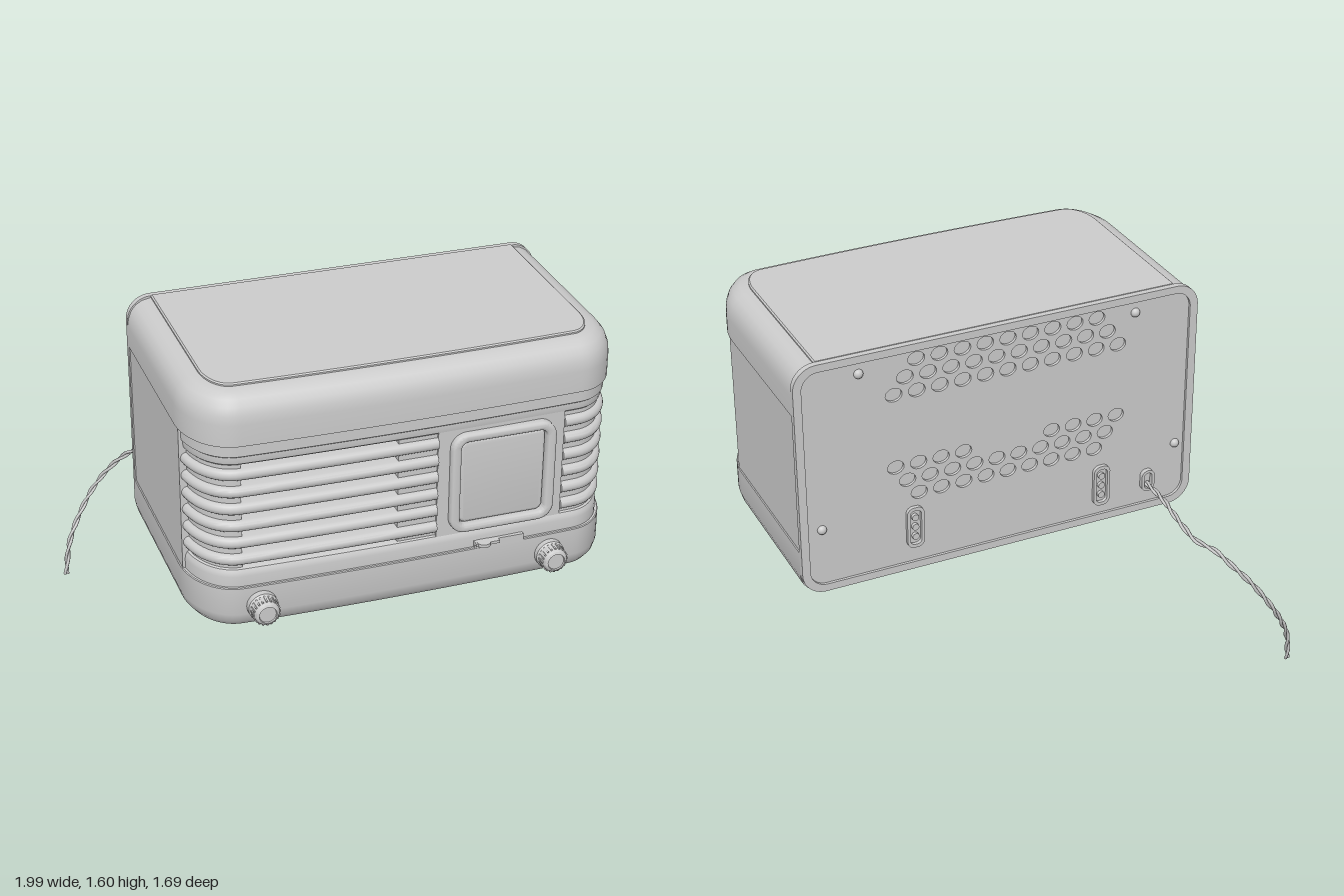
import * as THREE from 'three';
import { toCreasedNormals } from 'three/addons/utils/BufferGeometryUtils.js';

const CX = 0.11, HX = 0.885, BACK = -0.19, CW = 0.195, CZ = 0.5, CD = 0.257;
const FX = HX - CW; // where the front corners begin
const mat = new THREE.MeshStandardMaterial({ color: 0xcccccc, side: THREE.DoubleSide });

function add(parent, name, geo, x = 0, y = 0, z = 0) {
  const m = new THREE.Mesh(geo, mat);
  m.name = name;
  m.position.set(x, y, z);
  parent.add(m);
  return m;
}

// Cabinet plan from +x round the bowed front to -x, moved inwards by d
function plan(d, x0 = -9, x1 = 9, zMin = -9) {
  const pts = [], N = 12;
  const corner = (i, s) => {
    const a = (i / N) * Math.PI / 2;
    return [s * (FX + (CW - d) * Math.cos(a)), CZ + (CD - d) * Math.sin(a)];
  };
  for (let i = 0; i < N; i++) pts.push(corner(i, 1));
  const xs = [-0.06, 0.1, 0.635];
  for (let i = 0; i <= 20; i++) xs.push(FX * (1 - i / 10));
  xs.sort((a, b) => b - a);
  for (const x of xs) pts.push([x, CZ + CD + 0.013 * (1 - (x / FX) ** 2) - d]);
  for (let i = N - 1; i >= 0; i--) pts.push(corner(i, -1));
  return pts.filter(([x, z]) => x >= x0 - 1e-6 && x <= x1 + 1e-6 && z >= zMin);
}

// Sweep a profile of [inset, height] round the plan; closed adds the back, top and bottom
function sweep(profile, { closed = false, x0, x1, zMin } = {}) {
  const pos = [], idx = [];
  let n = 0;
  for (const [d, y] of profile) {
    // choose points on the un-inset plan so that all rows match
    const ref = plan(0), now = plan(d);
    let row = now.filter((p, i) => ref[i][0] >= (x0 ?? -9) - 1e-6 && ref[i][0] <= (x1 ?? 9) + 1e-6 && ref[i][1] >= (zMin ?? -9));
    if (closed) row = [[HX - d, BACK], ...row, [d - HX, BACK]];
    n = row.length;
    for (const [x, z] of row) pos.push(x + CX, y, z);
  }
  const rows = profile.length;
  for (let r = 0; r < rows - 1; r++) {
    for (let i = 0; i < (closed ? n : n - 1); i++) {
      const a = r * n + i, b = r * n + (i + 1) % n;
      idx.push(a, a + n, b, b, a + n, b + n);
    }
  }
  if (closed) {
    const top = (rows - 1) * n, c = pos.length / 3;
    pos.push(CX, profile[0][1], 0.25, CX, profile[rows - 1][1], 0.25);
    for (let i = 0; i < n; i++) {
      const j = (i + 1) % n;
      idx.push(c, i, j, c + 1, top + j, top + i);
    }
  } else {
    for (let r = 1; r < rows - 1; r++) {
      idx.push(0, (r + 1) * n, r * n);
      idx.push(n - 1, r * n + n - 1, (r + 1) * n + n - 1);
    }
  }
  const g = new THREE.BufferGeometry();
  g.setAttribute('position', new THREE.Float32BufferAttribute(pos, 3));
  g.setIndex(idx);
  return toCreasedNormals(g, 0.55);
}

function roundRect(w, h, r, cls = THREE.Shape) {
  const s = new cls(), x = w / 2, y = h / 2;
  s.moveTo(x, r - y);
  s.absarc(x - r, y - r, r, 0, Math.PI / 2);
  s.absarc(r - x, y - r, r, Math.PI / 2, Math.PI);
  s.absarc(r - x, r - y, r, Math.PI, Math.PI * 1.5);
  s.absarc(x - r, r - y, r, Math.PI * 1.5, Math.PI * 2);
  return s;
}

function extrude(shape, depth, bevel = 0) {
  return toCreasedNormals(new THREE.ExtrudeGeometry(shape, {
    depth, curveSegments: 10, bevelEnabled: bevel > 0, bevelSize: bevel, bevelThickness: bevel, bevelOffset: -bevel, bevelSegments: 3,
  }), 0.6);
}

function addKnob(parent, x) {
  const knob = new THREE.Group();
  knob.name = 'knob';
  knob.position.set(x, 0.68, 0.74);
  parent.add(knob);
  const prof = [[0, 0], [0.061, 0], [0.061, 0.045], [0.055, 0.053], [0.051, 0.09], [0.045, 0.1], [0.036, 0.105], [0.034, 0.099], [0, 0.099]];
  const g = new THREE.LatheGeometry(prof.map(p => new THREE.Vector2(...p)), 32);
  add(knob, 'knobBody', toCreasedNormals(g, 0.5).rotateX(Math.PI / 2));
  for (let i = 0; i < 20; i++) {
    const a = (i / 20) * Math.PI * 2;
    add(knob, 'knobGrip', new THREE.BoxGeometry(0.006, 0.007, 0.045), 0.053 * Math.cos(a), 0.053 * Math.sin(a), 0.067).rotation.z = a;
  }
}

// Back panel with two fields of staggered vent holes
function backPanel() {
  const s = roundRect(1.7, 0.97, 0.07), cy = 1.085;
  const hole = (x, y) => {
    const h = new THREE.Path();
    h.absellipse(x - CX, y - cy, 0.036, 0.03, 0, Math.PI * 2, true);
    s.holes.push(h);
  };
  for (let r = 0; r < 3; r++) {
    const k = 9 + r;
    for (let i = 0; i < k; i++) {
      const x = 0.08 + (i - (k - 1) / 2) * 0.099;
      hole(x, 1.53 - r * 0.07);
      if (r < 2 || i < 4 || i > 6) hole(x, 0.92 + r * 0.07);
    }
  }
  return extrude(s, 0.013);
}

// Twisted two-strand cord
function cordStrand(path, phase) {
  const N = 160, fr = path.computeFrenetFrames(N), pts = [];
  for (let i = 0; i <= N; i++) {
    const a = phase + i * 0.3;
    pts.push(path.getPointAt(i / N).addScaledVector(fr.normals[i], 0.006 * Math.cos(a)).addScaledVector(fr.binormals[i], 0.006 * Math.sin(a)));
  }
  return new THREE.TubeGeometry(new THREE.CatmullRomCurve3(pts), 240, 0.007, 6);
}

export function createModel() {
  const root = new THREE.Group();
  root.name = 'tableRadio';

  // Cabinet shells
  add(root, 'topShell', sweep([[0.02, 1.388], [0, 1.39], [0, 1.48], [0.004, 1.515], [0.016, 1.547], [0.036, 1.572], [0.064, 1.588], [0.1, 1.595]], { closed: true }));
  add(root, 'topPlate', sweep([[0.1, 1.59], [0.1, 1.601], [0.106, 1.606]], { closed: true }));
  add(root, 'bottomShell', sweep([[0.09, 0.565], [0.06, 0.57], [0.03, 0.585], [0.01, 0.61], [0, 0.645], [0, 0.763], [0.004, 0.766]], { closed: true }));
  add(root, 'core', sweep([[0.075, 0.76], [0.075, 1.39]], { closed: true }));
  for (const s of [-1, 1]) add(root, 'sideWall', new THREE.BoxGeometry(0.1, 0.64, 0.73), CX + s * (HX - 0.055), 1.075, 0.175);

  // Front wall round the speaker opening, and smooth bands above and below
  const wall = [[0.075, 0.82], [0.032, 0.82], [0.032, 1.32], [0.075, 1.32]];
  add(root, 'frontWall', sweep(wall, { x1: -FX, zMin: 0.53 }));
  add(root, 'frontWall', sweep(wall, { x0: -0.06, zMin: 0.53 }));
  add(root, 'upperBand', sweep([[0.075, 1.298], [0.03, 1.298], [0.022, 1.305], [0.019, 1.32], [0.019, 1.335], [0.013, 1.34], [0.013, 1.392]], { zMin: 0.53 }));
  add(root, 'lowerBand', sweep([[0.013, 0.755], [0.013, 0.81], [0.016, 0.825], [0.023, 0.838], [0.032, 0.842], [0.075, 0.842]], { zMin: 0.53 }));

  // Wrap-around ribs either side of the dial
  const rib = [[0.07, -0.024], [0.03, -0.024]];
  for (let i = 1; i < 8; i++) {
    const a = (i / 8 - 0.5) * Math.PI;
    rib.push([0.03 - 0.022 * Math.cos(a), 0.024 * Math.sin(a)]);
  }
  rib.push([0.03, 0.024], [0.07, 0.024]);
  for (let i = 0; i < 6; i++) {
    const prof = rib.map(([d, y]) => [d, y + 0.882 + i * 0.0748]);
    add(root, 'rib', sweep(prof, { x1: 0.1, zMin: 0.53 }));
    add(root, 'rib', sweep(prof, { x0: 0.635, zMin: 0.53 }));
  }

  // Dial surround, frame and window
  add(root, 'dialSurround', sweep([[0.075, 0.83], [0.022, 0.83], [0.022, 1.31], [0.075, 1.31]], { x0: 0.1, x1: 0.635 }));
  const frame = roundRect(0.44, 0.44, 0.065);
  frame.holes.push(roundRect(0.36, 0.37, 0.03, THREE.Path));
  add(root, 'dialFrame', extrude(frame, 0.05, 0.012), 0.48, 1.07, 0.715);
  add(root, 'dialWindow', extrude(roundRect(0.355, 0.365, 0.03), 0.03, 0.012), 0.48, 1.07, 0.715);

  // Controls
  addKnob(root, -0.515);
  addKnob(root, 0.695);
  add(root, 'leverSlot', new THREE.BoxGeometry(0.21, 0.035, 0.05), 0.475, 0.775, 0.742);
  add(root, 'lever', new THREE.BoxGeometry(0.1, 0.012, 0.05), 0.42, 0.787, 0.76);
  add(root, 'leverTip', new THREE.CylinderGeometry(0.028, 0.028, 0.014, 20), 0.405, 0.787, 0.775);

  // Back rim, panel and fittings
  const rim = roundRect(2 * HX, 1.036, 0.1);
  rim.holes.push(roundRect(1.7, 0.97, 0.07, THREE.Path));
  add(root, 'backRim', extrude(rim, 0.027), CX, 1.085, -0.216);
  add(root, 'backPanel', backPanel(), CX, 1.085, -0.204);
  for (const [x, y] of [[0.72, 1.52], [-0.49, 1.52], [0.9, 0.855], [-0.7, 0.855]]) {
    add(root, 'screw', new THREE.SphereGeometry(0.02, 16, 8).scale(1, 1, 0.9), x, y, -0.205);
  }
  for (const [x, y] of [[0.5, 0.765], [-0.35, 0.74]]) {
    const plate = roundRect(0.075, 0.19, 0.03);
    plate.holes.push(roundRect(0.05, 0.16, 0.02, THREE.Path));
    add(root, 'socketPlate', extrude(plate, 0.025), x, y, -0.22);
    for (const o of [-0.045, 0, 0.045]) add(root, 'socketTerminal', new THREE.CylinderGeometry(0.015, 0.015, 0.02, 12).rotateX(Math.PI / 2), x, y + o, -0.208);
  }
  const grommet = roundRect(0.06, 0.1, 0.028);
  grommet.holes.push(roundRect(0.036, 0.074, 0.017, THREE.Path));
  add(root, 'cordGrommet', extrude(grommet, 0.025), -0.57, 0.71, -0.224);

  // Small feet
  for (const x of [-0.62, 0.84]) for (const z of [-0.1, 0.58]) add(root, 'foot', new THREE.CylinderGeometry(0.025, 0.022, 0.016, 16), x, 0.562, z);

  // Mains cord hanging behind
  const path = new THREE.CatmullRomCurve3([
    [-0.57, 0.69, -0.19], [-0.57, 0.69, -0.35], [-0.57, 0.662, -0.5], [-0.585, 0.632, -0.61], [-0.625, 0.622, -0.7],
    [-0.675, 0.57, -0.765], [-0.745, 0.49, -0.81], [-0.82, 0.385, -0.835], [-0.89, 0.275, -0.822], [-0.955, 0.15, -0.785], [-0.985, 0.005, -0.755],
  ].map(p => new THREE.Vector3(...p)));
  for (const phase of [0, Math.PI]) add(root, 'cord', cordStrand(path, phase));

  return root;
}
